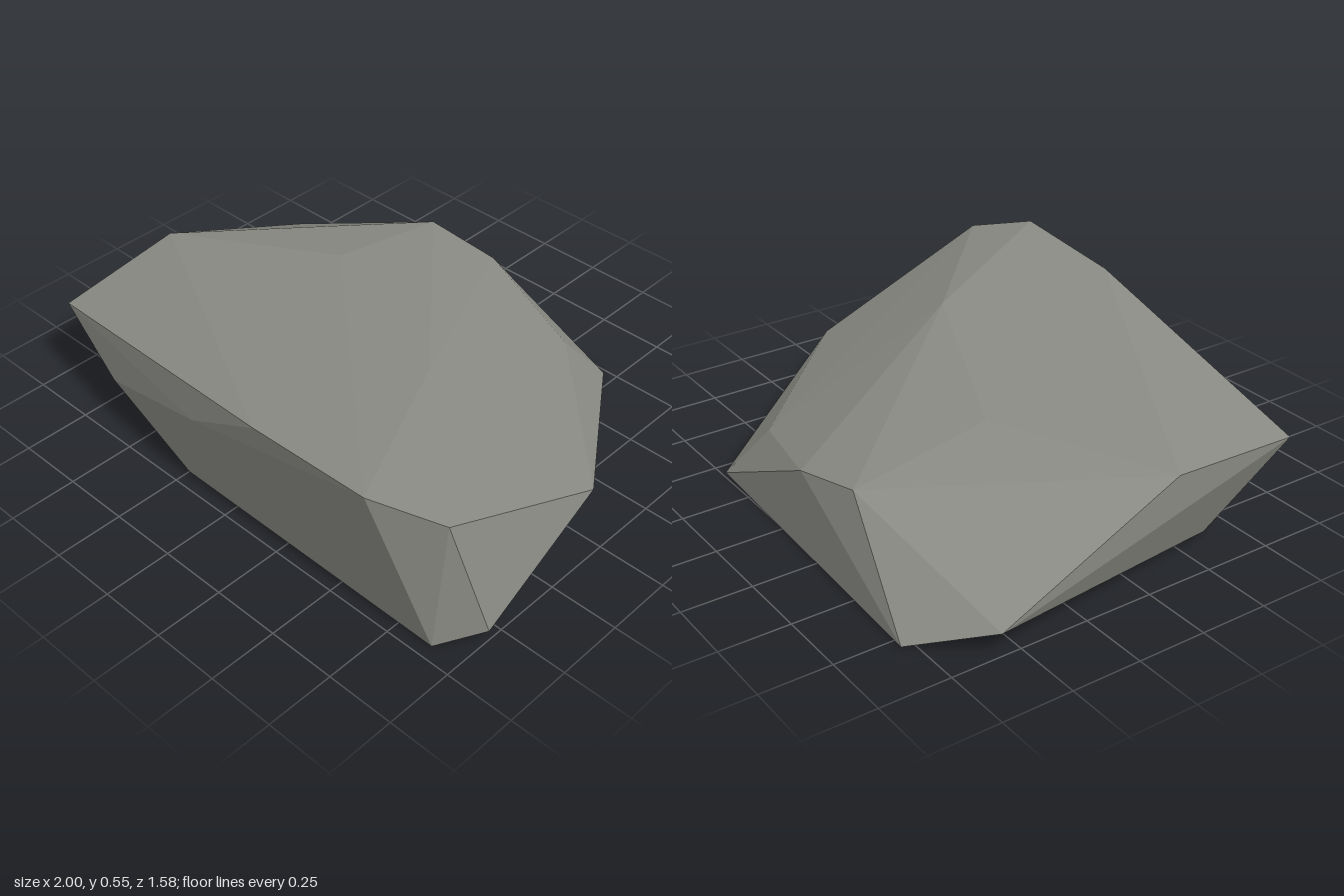
import * as THREE from 'three';
import { ConvexGeometry } from 'three/addons/geometries/ConvexGeometry.js';

export function createModel() {
  const group = new THREE.Group();
  group.name = 'rock';
  const stone = new THREE.MeshStandardMaterial({ color: 0x8b8b85, flatShading: true });
  stone.name = 'stone grey';

  // Corners of the flat, faceted boulder
  const corners = [
    // base outline
    [0.89, 0, 0.70], [-0.25, 0, 0.69], [-0.84, 0.02, 0.37],
    [-0.79, 0, -0.79], [0.45, 0, -0.735],
    // bulging sides
    [1.0, 0.04, 0.56], [0.93, 0.19, -0.03], [-1.0, 0.08, -0.57],
    [-0.63, 0.195, 0.69], [-0.13, 0.34, 0.75], [0.36, 0.17, -0.60],
    // upper rim
    [0.69, 0.55, 0.787], [0.91, 0.49, 0.66], [0.20, 0.515, 0.772],
    [-0.94, 0.34, 0.63], [-0.975, 0.378, 0.12],
    [-0.38, 0.312, -0.697], [-0.10, 0.262, -0.727],
    // low crown
    [0.36, 0.472, 0.14], [-0.38, 0.405, -0.19],
  ].map((p) => new THREE.Vector3(...p));

  const boulder = new THREE.Mesh(new ConvexGeometry(corners), stone);
  boulder.name = 'boulder';
  group.add(boulder);
  return group;
}
